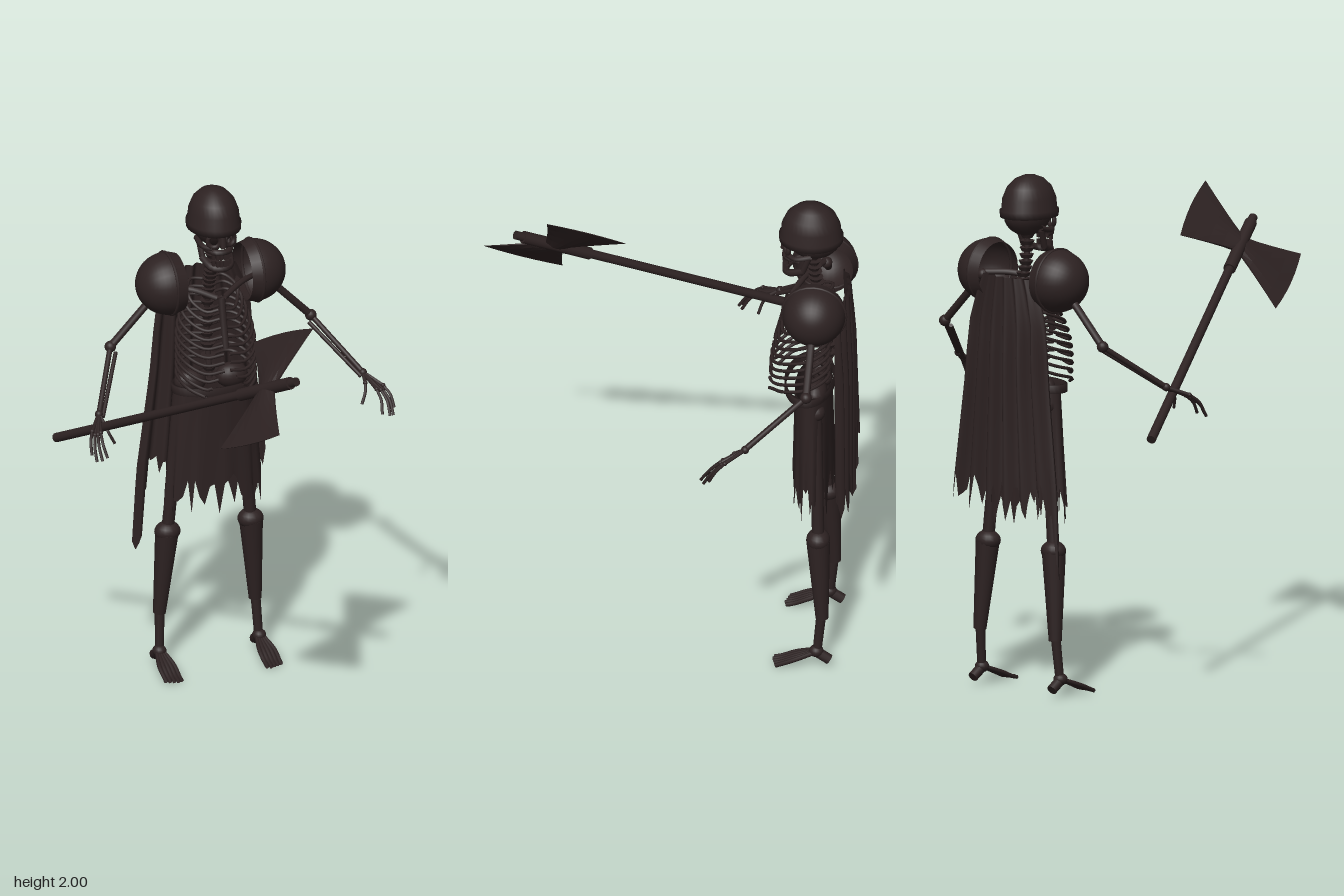
import * as THREE from 'three';

const V = (x, y, z) => new THREE.Vector3(x, y, z);
const dark = new THREE.MeshStandardMaterial({ color: 0x2d2222, side: THREE.DoubleSide });
dark.name = 'charred brown';

function add(parent, name, geo, pos) {
  const m = new THREE.Mesh(geo, dark);
  m.name = name;
  if (pos) m.position.copy(pos);
  parent.add(m);
  return m;
}

// tapered rod from a to b
function rod(parent, name, a, b, r1, r2 = r1, sides = 10) {
  const d = b.clone().sub(a);
  const m = add(parent, name, new THREE.CylinderGeometry(r2, r1, d.length(), sides), a.clone().addScaledVector(d, 0.5));
  m.quaternion.setFromUnitVectors(V(0, 1, 0), d.normalize());
  return m;
}

function ball(parent, name, p, rx, ry = rx, rz = rx) {
  return add(parent, name, new THREE.SphereGeometry(1, 18, 12).scale(rx, ry, rz), p);
}

function tube(parent, name, pts, r, steps = 14) {
  return add(parent, name, new THREE.TubeGeometry(new THREE.CatmullRomCurve3(pts), steps, r, 6));
}

// long bone: thin shaft with knobbed ends
function bone(parent, name, a, b, r) {
  rod(parent, name, a, b, r);
  for (const p of [a, b]) ball(parent, name + 'Knob', p, r * 1.5);
}

function seeded(seed) {
  return () => (seed = (seed * 16807) % 2147483647) / 2147483647;
}

// linear lookup through [key, value] pairs with falling keys
function lookup(table, k) {
  for (let i = 1; i < table.length; i++) {
    const [k0, v0] = table[i - 1], [k1, v1] = table[i];
    if (k >= k1) return v0 + (v1 - v0) * Math.min(1, (k0 - k) / (k0 - k1));
  }
  return table[table.length - 1][1];
}

function head(body) {
  const g = new THREE.Group();
  g.name = 'head';
  body.add(g);
  const dome = [[0.09, 1.845], [0.103, 1.84], [0.104, 1.866], [0.098, 1.868], [0.095, 1.91], [0.079, 1.953], [0.052, 1.983], [0.022, 1.997], [0, 2]];
  add(g, 'helmet', new THREE.LatheGeometry(dome.map(p => new THREE.Vector2(...p)), 32).scale(1, 1, 1.19), V(0, 0, -0.552));
  ball(g, 'skull', V(0, 1.85, -0.562), 0.08, 0.085, 0.105);
  rod(g, 'noseBridge', V(0, 1.84, -0.452), V(0, 1.79, -0.446), 0.012);
  const teeth = new THREE.BoxGeometry(0.011, 0.024, 0.01);
  for (const s of [-1, 1]) {
    const socket = add(g, 'eyeSocket', new THREE.TorusGeometry(0.024, 0.009, 8, 16), V(s * 0.032, 1.815, -0.462));
    socket.rotation.y = s * 0.35;
    tube(g, 'cheekbone', [V(s * 0.035, 1.785, -0.462), V(s * 0.064, 1.785, -0.5), V(s * 0.068, 1.8, -0.56)], 0.011);
    rod(g, 'jawHinge', V(s * 0.06, 1.79, -0.55), V(s * 0.054, 1.72, -0.525), 0.012);
    for (let i = 0; i < 3; i++) for (const y of [1.752, 1.722])
      add(g, 'tooth', teeth, V(s * (0.007 + i * 0.013), y, -0.449 - i * i * 0.004));
  }
  tube(g, 'upperJaw', [V(-0.048, 1.768, -0.51), V(-0.03, 1.768, -0.462), V(0, 1.768, -0.452), V(0.03, 1.768, -0.462), V(0.048, 1.768, -0.51)], 0.013);
  tube(g, 'lowerJaw', [V(-0.056, 1.725, -0.53), V(-0.036, 1.702, -0.468), V(0, 1.699, -0.454), V(0.036, 1.702, -0.468), V(0.056, 1.725, -0.53)], 0.014);
}

function torso(body) {
  // spine with vertebrae
  const spine = new THREE.CatmullRomCurve3([V(0, 1.79, -0.56), V(0, 1.66, -0.57), V(0, 1.55, -0.605), V(0, 1.4, -0.625), V(0, 1.18, -0.59)]);
  add(body, 'spine', new THREE.TubeGeometry(spine, 30, 0.012, 8));
  for (let i = 0; i <= 20; i++)
    add(body, 'vertebra', new THREE.CylinderGeometry(0.029, 0.02, 0.016, 10), spine.getPoint(i / 20));
  // ribs slope down towards the front
  for (let i = 0; i < 11; i++) {
    const t = i / 10, y = 1.59 - t * 0.325;
    const w = 0.1 + 0.048 * Math.sin(Math.min(1, t * 1.8) * Math.PI / 2);
    const front = -0.47 + 0.07 * Math.sin(Math.min(1, t * 1.3) * Math.PI / 2);
    const end = i < 8 ? 0.012 : 0.012 + (i - 7) * 0.025;
    for (const s of [-1, 1])
      tube(body, 'rib', [V(0, y, -0.615), V(s * w * 0.65, y + 0.004, -0.628), V(s * w, y - 0.022, -0.565),
        V(s * w * 0.93, y - 0.05, front - 0.065), V(s * w * 0.55, y - 0.075, front - 0.01), V(s * end, y - 0.068, front)], 0.0065, 22);
  }
  tube(body, 'breastbone', [V(0, 1.57, -0.465), V(0, 1.48, -0.445), V(0, 1.38, -0.42)], 0.014);
  for (const s of [-1, 1]) {
    tube(body, 'collarbone', [V(s * 0.015, 1.57, -0.475), V(s * 0.1, 1.6, -0.52), V(s * 0.21, 1.6, -0.585)], 0.012);
    ball(body, 'hipBone', V(s * 0.085, 1.19, -0.58), 0.065, 0.05, 0.045);
  }
  // belt
  const belt = [[0.93, -0.016], [1, -0.016], [1, 0.016], [0.93, 0.016], [0.93, -0.016]].map(p => new THREE.Vector2(...p));
  add(body, 'belt', new THREE.LatheGeometry(belt, 40).scale(0.172, 1, 0.096), V(0, 1.186, -0.547));
}

function arm(body, s) {
  const P = (x, y, z) => V(s * x, y, z);
  // domed shoulder plate, opening inwards
  const g = new THREE.Group();
  g.name = 'shoulderPlate';
  g.position.set(s * 0.172, 1.612, -0.585);
  g.rotation.z = -s * Math.PI / 2;
  body.add(g);
  add(g, 'shoulderDome', new THREE.SphereGeometry(0.122, 28, 12, 0, Math.PI * 2, 0, Math.PI / 2).scale(1, 1.05, 1));
  add(g, 'shoulderBand', new THREE.CylinderGeometry(0.126, 0.112, 0.045, 28, 1, true), V(0, -0.018, 0));
  add(g, 'shoulderRim', new THREE.TorusGeometry(0.122, 0.006, 8, 28).rotateX(Math.PI / 2), V(0, 0.004, 0));
  // arm bones
  const elbow = P(0.41, 1.385, -0.583), wrist = P(0.54, 1.215, -0.365);
  bone(body, 'upperArm', P(0.21, 1.59, -0.585), elbow, 0.015);
  bone(body, 'forearm', elbow, wrist, 0.0105);
  rod(body, 'forearmSecondBone', P(0.395, 1.365, -0.565), P(0.528, 1.205, -0.355), 0.008);
  // hand with five fingers
  const tips = [[0.618, 1.11, -0.235], [0.606, 1.09, -0.212], [0.588, 1.095, -0.2], [0.562, 1.098, -0.215], [0.505, 1.12, -0.285]];
  tips.forEach(([x, y, z], i) => {
    const k = 0.55 - 0.02 * (i === 4);
    const knuckle = P(0.54 + (x - 0.54) * k + 0.012, 1.215 + (y - 1.215) * k + 0.025, -0.365 + (z + 0.365) * k);
    rod(body, 'palmBone', wrist, knuckle, 0.008, 0.007, 7);
    ball(body, 'knuckle', knuckle, 0.009);
    tube(body, 'finger', [knuckle, knuckle.clone().lerp(P(x, y, z), 0.5).add(P(0.006, 0.008, 0.003)), P(x, y, z)], 0.006, 8);
  });
}

function leg(body, s) {
  const P = (x, y, z) => V(s * x, y, z);
  const knee = P(0.17, 0.565, -0.6);
  bone(body, 'thigh', P(0.12, 1.12, -0.585), knee, 0.024);
  ball(body, 'kneeCap', knee, 0.051, 0.04, 0.046);
  rod(body, 'shinGuard', P(0.196, 0.22, -0.618), P(0.172, 0.56, -0.6), 0.025, 0.046, 14);
  rod(body, 'shin', P(0.203, 0.07, -0.6), P(0.196, 0.23, -0.615), 0.017, 0.019);
  ball(body, 'ankle', P(0.204, 0.07, -0.597), 0.027, 0.024, 0.028);
  rod(body, 'heel', P(0.205, 0.034, -0.648), P(0.204, 0.07, -0.592), 0.02, 0.02);
  for (let i = 0; i < 5; i++) {
    const x = 0.205 + (i - 2) * 0.015;
    tube(body, 'toe', [P(0.204 + (i - 2) * 0.007, 0.066, -0.585), P(x, 0.04, -0.515), P(x, 0.016, -0.46), P(x, 0.009, -0.428 - Math.abs(i - 1) * 0.005)], 0.0085, 10);
  }
}

// hanging cloth: every column of a grid ends at its own ragged height
function cloth(parent, name, geo, cols, rule) {
  const p = geo.attributes.position;
  for (let i = 0; i < p.count; i++) {
    const col = i % (cols + 1), row = Math.floor(i / (cols + 1));
    p.setXYZ(i, ...rule(col, row));
  }
  geo.computeVertexNormals();
  add(parent, name, geo);
}

function garments(body) {
  const rnd = seeded(41), rows = 14;
  // pleated cape
  const cols = 56;
  const half = [[1.63, 0.13], [1.56, 0.16], [1.45, 0.195], [1.2, 0.215], [0.8, 0.265], [0.4, 0.285]];
  const hem = Array.from({ length: cols + 1 }, (_, i) => i < 4 ? 0.47 + Math.abs(i - 1) * 0.03 : 0.72 + rnd() * 0.12 - (i % 5 === 0 ? 0.06 : 0));
  cloth(body, 'cape', new THREE.PlaneGeometry(1, 1, cols, rows), cols, (c, r) => {
    const y = 1.62 + (hem[c] - 1.62) * r / rows, u = c / cols * 2 - 1;
    const z = -0.698 + 0.024 * Math.sin(u * 19) * Math.min(1, 0.35 + r / 8) + 0.035 * u * u * (1 - r / rows * 0.7);
    return [u * lookup(half, y), y, Math.max(-0.733, z)];
  });
  // ragged waist cloth
  const n = 60;
  const edge = Array.from({ length: n }, (_, i) => 0.68 + rnd() * 0.14 - (i % 6 === 0 ? 0.06 : 0));
  cloth(body, 'waistCloth', new THREE.CylinderGeometry(1, 1, 1, n, 10, true), n, (c, r) => {
    const a = (c % n) / n * Math.PI * 2, y = 1.18 + (edge[c % n] - 1.18) * r / 10;
    const k = r / 10, fold = 1 + 0.05 * k * Math.sin(a * 11);
    return [Math.sin(a) * (0.16 + 0.03 * k) * fold, y, -0.562 + Math.cos(a) * (0.07 + 0.006 * k) * fold];
  });
}

// double-bladed axe, built along +y from the butt
function axe(root) {
  const a = V(-0.62, 1.05, -0.56), b = V(-0.08, 1.69, 0.6), out = V(0.517, 0.62, -0.59);
  const dir = b.clone().sub(a), len = dir.length();
  dir.normalize();
  out.addScaledVector(dir, -out.dot(dir)).normalize();
  const g = new THREE.Group();
  g.name = 'axe';
  g.position.copy(a);
  g.quaternion.setFromRotationMatrix(new THREE.Matrix4().makeBasis(out, dir, out.clone().cross(dir)));
  root.add(g);
  add(g, 'axeShaft', new THREE.CylinderGeometry(0.017, 0.018, len, 14), V(0, len / 2, 0));
  add(g, 'axeSocket', new THREE.CylinderGeometry(0.024, 0.024, 0.3, 14), V(0, len - 0.185, 0));
  for (const s of [-1, 1]) {
    // blade flares and thins towards its cutting edge
    const geo = new THREE.BoxGeometry(1, 2, 1, 4, 6, 2).toNonIndexed();
    const p = geo.attributes.position;
    for (let i = 0; i < p.count; i++) {
      const t = p.getX(i) + 0.5, v = p.getY(i), w = p.getZ(i);
      const x = 0.012 + t * 0.222 + t * 0.012 * (1 - v * v);
      const thick = (0.036 * (1 - t) + 0.003) * (1 - 0.75 * v * v);
      p.setXYZ(i, x, v * (0.048 + 0.128 * Math.pow(t, 1.1)), w * thick);
    }
    geo.computeVertexNormals();
    const blade = add(g, 'axeBlade', geo, V(0, len * 0.876, 0));
    blade.rotation.y = s > 0 ? 0 : Math.PI;
  }
}

export function createModel() {
  const root = new THREE.Group();
  root.name = 'skeletonWarrior';
  const body = new THREE.Group();
  body.name = 'body';
  body.position.x = 0.021;
  root.add(body);
  head(body);
  torso(body);
  for (const s of [-1, 1]) {
    arm(body, s);
    leg(body, s);
  }
  garments(body);
  axe(root);
  return root;
}
